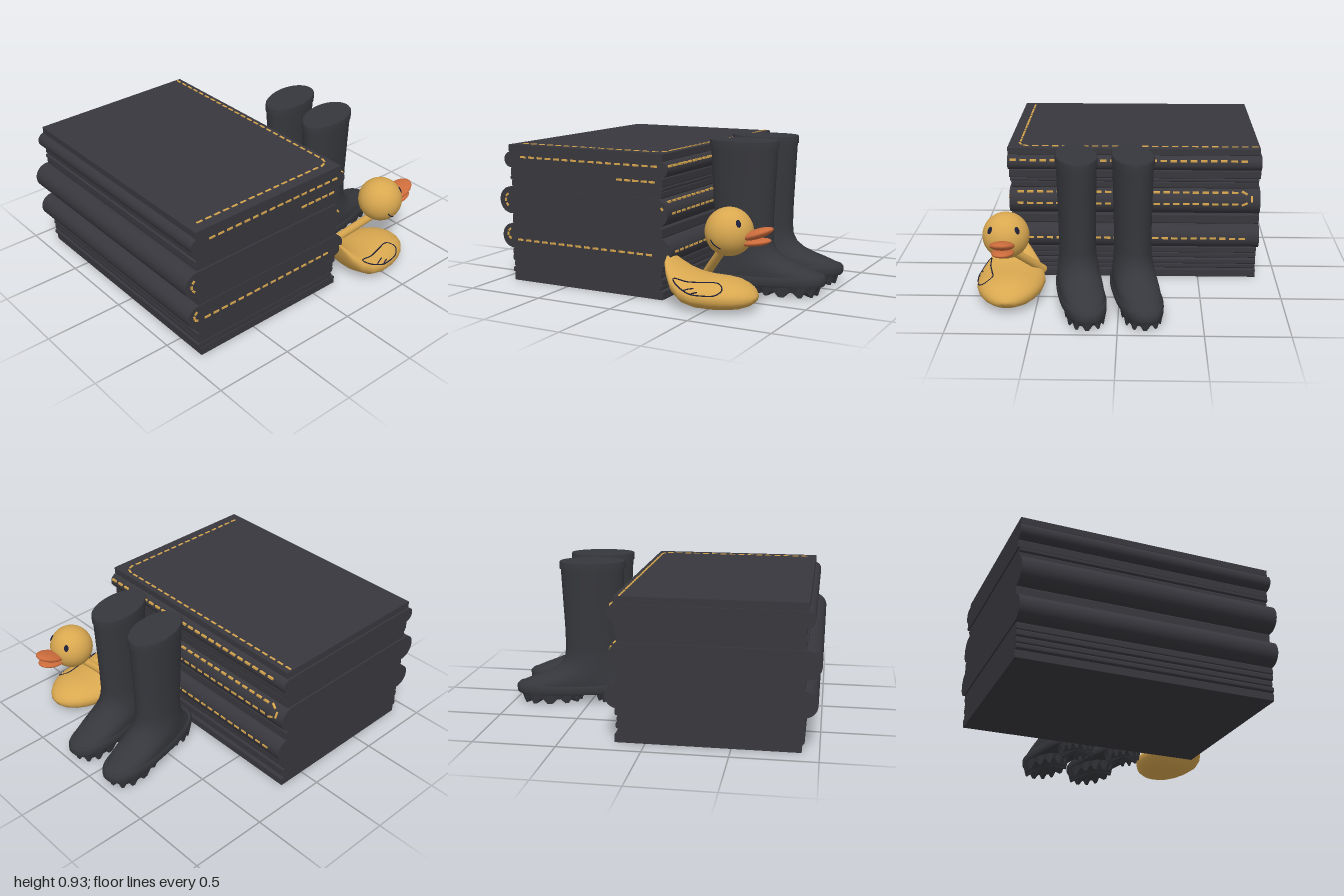
import * as THREE from 'three';

const mat = (name, color) => {
  const m = new THREE.MeshStandardMaterial({ color });
  m.name = name;
  return m;
};
const V = (x, y, z) => new THREE.Vector3(x, y, z);

// Closed skin over rings with equal point counts, flat caps at both ends
function loft(rings, flat = false, capOffset = 0) {
  const n = rings[0].length, pos = [], idx = [];
  rings.forEach(r => r.forEach(p => pos.push(p.x, p.y, p.z)));
  for (let i = 0; i < rings.length - 1; i++) for (let j = 0; j < n; j++) {
    const a = i * n + j, b = i * n + (j + 1) % n;
    idx.push(a, a + n, b, b, a + n, b + n);
  }
  [rings[0], rings[rings.length - 1]].forEach((r, end) => {
    const base = pos.length / 3, c = V(0, 0, 0);
    r.forEach(p => { pos.push(p.x, p.y, p.z); c.add(p); });
    c.divideScalar(n);
    pos.push(c.x, c.y + (end ? 0 : capOffset), c.z);
    for (let j = 0; j < n; j++) {
      const a = base + j, b = base + (j + 1) % n;
      idx.push(base + n, end ? b : a, end ? a : b);
    }
  });
  let g = new THREE.BufferGeometry();
  g.setAttribute('position', new THREE.Float32BufferAttribute(pos, 3));
  g.setIndex(idx);
  if (flat) g = g.toNonIndexed();
  g.computeVertexNormals();
  return g;
}

// Horizontal oval of a boot; e < 1 makes it squarer
function oval(y, x0, x1, w, e = 1, n = 48) {
  return Array.from({ length: n }, (_, k) => {
    const t = k / n * Math.PI * 2, c = Math.cos(t), s = Math.sin(t);
    const pw = v => Math.sign(v) * Math.abs(v) ** e;
    return V((x0 + x1) / 2 + (x1 - x0) / 2 * pw(c), y, w * pw(s) * (0.95 + 0.05 * c));
  });
}

// Duck body sections along x: x, bottom, top, half width
const duckZ = 0.67;
const bodySections = [
  [0.208, 0.262, 0.282, 0.03], [0.222, 0.2, 0.275, 0.085], [0.25, 0.13, 0.252, 0.12],
  [0.3, 0.06, 0.217, 0.165], [0.37, 0.015, 0.19, 0.197], [0.45, 0, 0.18, 0.21],
  [0.55, 0, 0.18, 0.2], [0.62, 0.004, 0.176, 0.178], [0.68, 0.014, 0.16, 0.145],
  [0.73, 0.032, 0.135, 0.1], [0.757, 0.052, 0.11, 0.058], [0.768, 0.075, 0.088, 0.015]];

function bodySideZ(x, y) {
  let i = 0;
  while (i < bodySections.length - 2 && bodySections[i + 1][0] < x) i++;
  const a = bodySections[i], b = bodySections[i + 1], f = (x - a[0]) / (b[0] - a[0]);
  const [bot, top, w] = [1, 2, 3].map(k => a[k] + (b[k] - a[k]) * f);
  const d = (y - (bot + top) / 2) / ((top - bot) / 2);
  return duckZ + w * Math.sqrt(Math.max(0, 1 - d * d));
}

export function createModel() {
  const root = new THREE.Group();
  const cloth = mat('charcoal cloth', 0x38373d);
  const rubber = mat('dark rubber', 0x36373c);
  const gold = mat('gold thread', 0xd6a54c);
  const yellow = mat('duck yellow', 0xd9a850);
  const orange = mat('beak orange', 0xcc6c3c);
  const navy = mat('dark navy', 0x1d1f38);

  const add = (parent, name, geo, m, p = [0, 0, 0]) => {
    const mesh = new THREE.Mesh(geo, m);
    mesh.name = name;
    mesh.position.set(...p);
    parent.add(mesh);
    return mesh;
  };
  const group = (parent, name) => {
    const g = new THREE.Group();
    g.name = name;
    parent.add(g);
    return g;
  };

  // Folded clothes: y0, y1, x0, x1, edge radius, front z
  const stack = group(root, 'foldedClothes');
  [[0, 0.05, -0.9, 0.18, 0.004, 0.7], [0.05, 0.085, -0.915, 0.16, 0.012, 0.695],
    [0.085, 0.125, -0.91, 0.172, 0.012, 0.69], [0.125, 0.165, -0.915, 0.165, 0.012, 0.695],
    [0.165, 0.21, -0.91, 0.177, 0.01, 0.7], [0.21, 0.365, -0.985, 0.235, 0.077, 0.7],
    [0.365, 0.43, -0.91, 0.172, 0.01, 0.695], [0.43, 0.6, -1, 0.215, 0.084, 0.7],
    [0.6, 0.645, -0.912, 0.165, 0.01, 0.69], [0.645, 0.67, -0.92, 0.175, 0.01, 0.695],
    [0.67, 0.725, -0.91, 0.18, 0.008, 0.7], [0.725, 0.822, -0.955, 0.215, 0.048, 0.705],
    [0.822, 0.868, -0.92, 0.18, 0.005, 0.705]].forEach(([y0, y1, x0, x1, r, z1]) => {
    const s = new THREE.Shape();
    s.moveTo(x0 + r, y0);
    s.lineTo(x1 - r, y0);
    s.absarc(x1 - r, y0 + r, r, -Math.PI / 2, 0);
    s.absarc(x1 - r, y1 - r, r, 0, Math.PI / 2);
    s.absarc(x0 + r, y1 - r, r, Math.PI / 2, Math.PI);
    s.absarc(x0 + r, y0 + r, r, Math.PI, Math.PI * 1.5);
    const back = y1 - y0 > 0.05 ? -0.88 : -0.87;
    const g = new THREE.ExtrudeGeometry(s, { depth: z1 - back, bevelEnabled: false, curveSegments: 12 });
    add(stack, 'foldedLayer', g, cloth, [0, 0, back]);
  });

  // Dashed seams following a path on the cloth
  const stitches = group(root, 'stitching');
  const seam = (points, dash = 0.04, gap = 0.022) => {
    const path = new THREE.CurvePath();
    for (let i = 1; i < points.length; i++) path.add(new THREE.LineCurve3(V(...points[i - 1]), V(...points[i])));
    const len = path.getLength(), count = Math.max(1, Math.round(len / (dash + gap)));
    const geo = new THREE.BoxGeometry(0.012, 0.012, dash);
    for (let i = 0; i < count; i++) {
      const u = (i + 0.5) / count, m = add(stitches, 'stitch', geo, gold);
      m.position.copy(path.getPointAt(u));
      m.lookAt(m.position.clone().add(path.getTangentAt(u)));
    }
  };
  seam([[-0.87, 0.866, 0.635], [0.09, 0.866, 0.635], [0.13, 0.866, 0.62], [0.145, 0.866, 0.58], [0.145, 0.866, -0.87]]);
  seam([[-0.84, 0.793, 0.704], [0.16, 0.793, 0.704]]);
  seam([[-0.14, 0.7, 0.7], [0.14, 0.7, 0.7]]);
  seam([[-0.92, 0.335, 0.7], [-0.945, 0.31, 0.7], [-0.942, 0.28, 0.7], [-0.915, 0.265, 0.7]], 0.022, 0.012);
  seam([[-0.88, 0.265, 0.7], [0.12, 0.265, 0.7]]);
  seam([[-0.93, 0.56, 0.7], [-0.955, 0.535, 0.7], [-0.957, 0.5, 0.7], [-0.93, 0.472, 0.7]], 0.022, 0.012);
  seam([[0.165, 0.56, 0.7], [0.19, 0.53, 0.7]], 0.02, 0.012);
  seam([[0.214, 0.797, 0.7], [0.214, 0.797, -0.8]]);
  seam([[0.185, 0.58, 0.66], [0.185, 0.58, -0.78], [0.204, 0.56, -0.825], [0.213, 0.535, -0.825],
    [0.214, 0.515, -0.78], [0.214, 0.515, 0.66]]);
  seam([[0.234, 0.29, 0.66], [0.234, 0.29, -0.8]]);

  // Rubber boots, toes toward +x
  const lugs = (x0, x1, w) => {
    const bottom = oval(0, x0 + 0.02, x1 - 0.02, w - 0.012, 0.85);
    bottom.forEach((p, k) => { p.y = k % 4 < 2 ? 0 : 0.03; });
    return loft([bottom, oval(0.07, x0, x1, w, 0.85)], true, 0.02);
  };
  const bootParts = {
    upper: loft([oval(0.11, -0.265, 0.485, 0.137, 0.85), oval(0.13, -0.255, 0.465, 0.138, 0.87),
      oval(0.155, -0.235, 0.405, 0.138, 0.9), oval(0.18, -0.215, 0.335, 0.136, 0.95),
      oval(0.21, -0.2, 0.265, 0.132), oval(0.25, -0.185, 0.212, 0.126), oval(0.3, -0.178, 0.186, 0.119),
      oval(0.36, -0.178, 0.18, 0.116), oval(0.5, -0.186, 0.183, 0.117), oval(0.7, -0.197, 0.193, 0.121),
      oval(0.885, -0.206, 0.202, 0.126)]),
    rim: loft([oval(0.878, -0.213, 0.209, 0.131), oval(0.92, -0.213, 0.209, 0.131),
      oval(0.926, -0.208, 0.204, 0.126)]),
    sole: loft([oval(0.062, -0.285, 0.497, 0.137, 0.82), oval(0.075, -0.293, 0.505, 0.145, 0.82),
      oval(0.108, -0.293, 0.505, 0.145, 0.82), oval(0.122, -0.28, 0.492, 0.135, 0.82)]),
    heelTread: lugs(-0.265, 0.0, 0.118),
    frontTread: lugs(0.06, 0.48, 0.13)
  };
  [['leftBoot', 0.498, 0.255], ['rightBoot', 0.49, -0.08]].forEach(([name, x, z]) => {
    const boot = group(root, name);
    for (const part in bootParts) add(boot, part, bootParts[part], rubber);
    boot.position.set(x, 0, z);
    boot.rotation.y = 0.2;
  });

  // Toy duck body
  const duck = group(root, 'duck');
  add(duck, 'body', loft(bodySections.map(([x, bot, top, w]) => Array.from({ length: 40 }, (_, k) => {
    const t = k / 40 * Math.PI * 2, c = Math.cos(t);
    const y = c < 0 ? -((-c) ** 0.85) : c;
    return V(x, (bot + top) / 2 + (top - bot) / 2 * y, duckZ - w * Math.sin(t));
  }))), yellow);

  // Head, neck strut, beak and eyes
  const head = V(0.597, 0.45, 0.673), R = 0.14;
  add(duck, 'head', new THREE.SphereGeometry(R, 40, 28), yellow, head.toArray());
  add(duck, 'neck', new THREE.TubeGeometry(new THREE.LineCurve3(V(0.57, 0.36, 0.68), V(0.345, 0.12, 0.485)), 1, 0.026, 16), yellow);
  add(duck, 'neckEnd', new THREE.SphereGeometry(0.026, 16, 10), yellow, [0.345, 0.12, 0.485]);
  [['upperBeak', 0.77, 0.452, 0.1, 0.028, 0.073, 0.36], ['lowerBeak', 0.762, 0.404, 0.092, 0.022, 0.066, 0.16]]
    .forEach(([name, x, y, a, b, c, tilt]) => {
      const m = add(duck, name, new THREE.SphereGeometry(1, 32, 20), orange, [x, y, 0.673]);
      m.scale.set(a, b, c);
      m.rotation.z = tilt;
    });
  for (const side of [1, -1]) {
    const dir = V(0.097, 0.068, side * 0.083).normalize();
    const eye = add(duck, 'eye', new THREE.SphereGeometry(1, 20, 12), navy);
    eye.scale.set(0.015, 0.023, 0.005);
    eye.position.copy(head).addScaledVector(dir, R);
    eye.lookAt(eye.position.clone().add(dir));
  }

  // Fine drawn lines: wing outline with feathers, cheek crease
  const line = (name, pts, closed = false) => add(duck, name,
    new THREE.TubeGeometry(new THREE.CatmullRomCurve3(pts, closed), 48, 0.004, 6, closed), navy);
  const onBody = pts => pts.map(([x, y]) => V(x, y, bodySideZ(x, y)));
  line('wingOutline', onBody([[0.31, 0.175], [0.4, 0.163], [0.5, 0.165], [0.58, 0.165], [0.62, 0.14],
    [0.59, 0.115], [0.52, 0.11], [0.45, 0.112], [0.4, 0.125], [0.35, 0.145]]), true);
  line('featherLine', onBody([[0.4, 0.125], [0.43, 0.135], [0.46, 0.14]]));
  line('featherLine', onBody([[0.45, 0.112], [0.47, 0.12], [0.49, 0.125]]));
  line('cheekCrease', [[0.54, 0.42], [0.56, 0.395], [0.58, 0.382], [0.6, 0.37]].map(([x, y]) =>
    V(x, y, head.z + Math.sqrt(R * R - (x - head.x) ** 2 - (y - head.y) ** 2))));

  return root;
}
